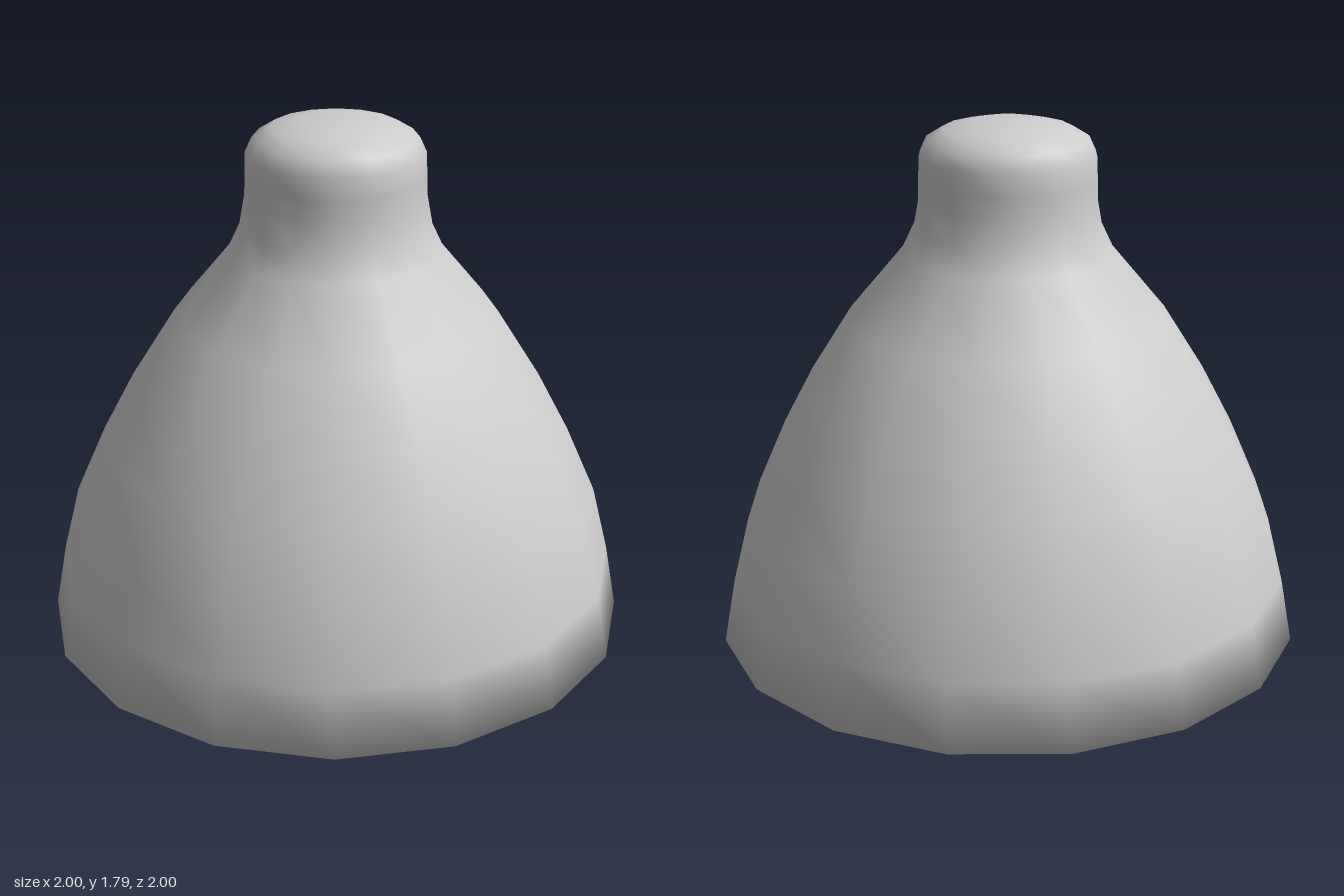
import * as THREE from 'three';

const SIDES = 16;

// Turned profile (radius, height): flat base, domed flank, waisted neck, rounded top
const PROFILE = [
  [0, 0], [1, 0], [0.96, 0.22], [0.903, 0.45], [0.8, 0.685], [0.692, 0.89],
  [0.547, 1.12], [0.36, 1.345], [0.32, 1.43], [0.302, 1.53], [0.3, 1.6],
  [0.298, 1.675], [0.275, 1.725], [0.215, 1.762], [0.12, 1.784], [0, 1.788],
].map(([r, y]) => new THREE.Vector2(r, y));

// Even averaging of neighbouring segments, so the shading rolls around the base rim
function profileNormals(points) {
  const seg = points.slice(1).map((p, i) => {
    const d = p.clone().sub(points[i]).normalize();
    return new THREE.Vector2(d.y, -d.x);
  });
  return points.map((p, i) => {
    if (i === 0) return new THREE.Vector2(0, -1);
    if (i === points.length - 1) return new THREE.Vector2(0, 1);
    return seg[i - 1].clone().add(seg[i]).normalize();
  });
}

function smoothLathe(points, sides) {
  const geometry = new THREE.LatheGeometry(points, sides);
  const normals = profileNormals(points);
  const attr = geometry.attributes.normal;
  for (let i = 0; i <= sides; i++) {
    const a = (i / sides) * Math.PI * 2;
    normals.forEach((n, j) =>
      attr.setXYZ(i * points.length + j, n.x * Math.sin(a), n.y, n.x * Math.cos(a)));
  }
  return geometry;
}

export function createModel() {
  const group = new THREE.Group();
  group.name = 'bell';

  const grey = new THREE.MeshStandardMaterial({ color: 0xcccccc });
  grey.name = 'light grey';

  // Solid bell-shaped body with neck and closed base
  const body = new THREE.Mesh(smoothLathe(PROFILE, SIDES), grey);
  body.name = 'bellBody';
  group.add(body);

  return group;
}
